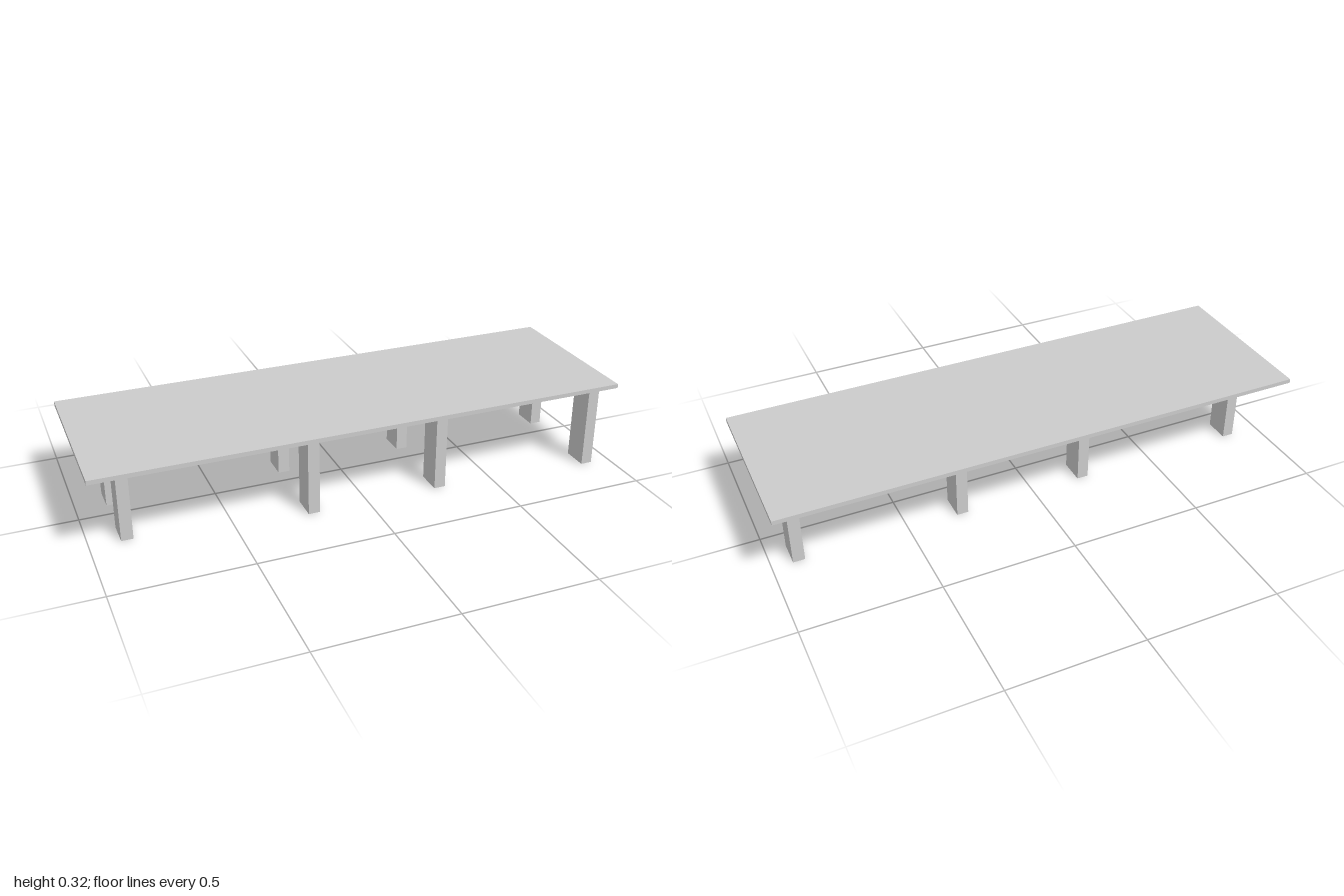
import * as THREE from 'three';

export function createModel() {
  const model = new THREE.Group();
  const material = new THREE.MeshStandardMaterial({ color: 0xcccccc, flatShading: true });
  const legHeight = 0.308, topThickness = 0.016;

  function box(name, w, h, d, x, y, z) {
    const mesh = new THREE.Mesh(new THREE.BoxGeometry(w, h, d), material);
    mesh.name = name;
    mesh.position.set(x, y + h / 2, z);
    model.add(mesh);
  }

  // Thin slab
  box('tableTop', 2, topThickness, 0.64, 0, legHeight, 0);

  // Pairs of legs, unevenly spaced: x, front z, back z
  const legPairs = [
    [-0.868, 0.146, -0.111],
    [-0.209, 0.219, -0.111],
    [0.29, 0.219, -0.12],
    [0.904, 0.261, -0.12],
  ];
  legPairs.forEach(([x, front, back], i) => {
    box(`frontLeg${i + 1}`, 0.043, legHeight, 0.096, x, 0, front);
    box(`backLeg${i + 1}`, 0.043, legHeight, 0.096, x, 0, back);
  });

  return model;
}
